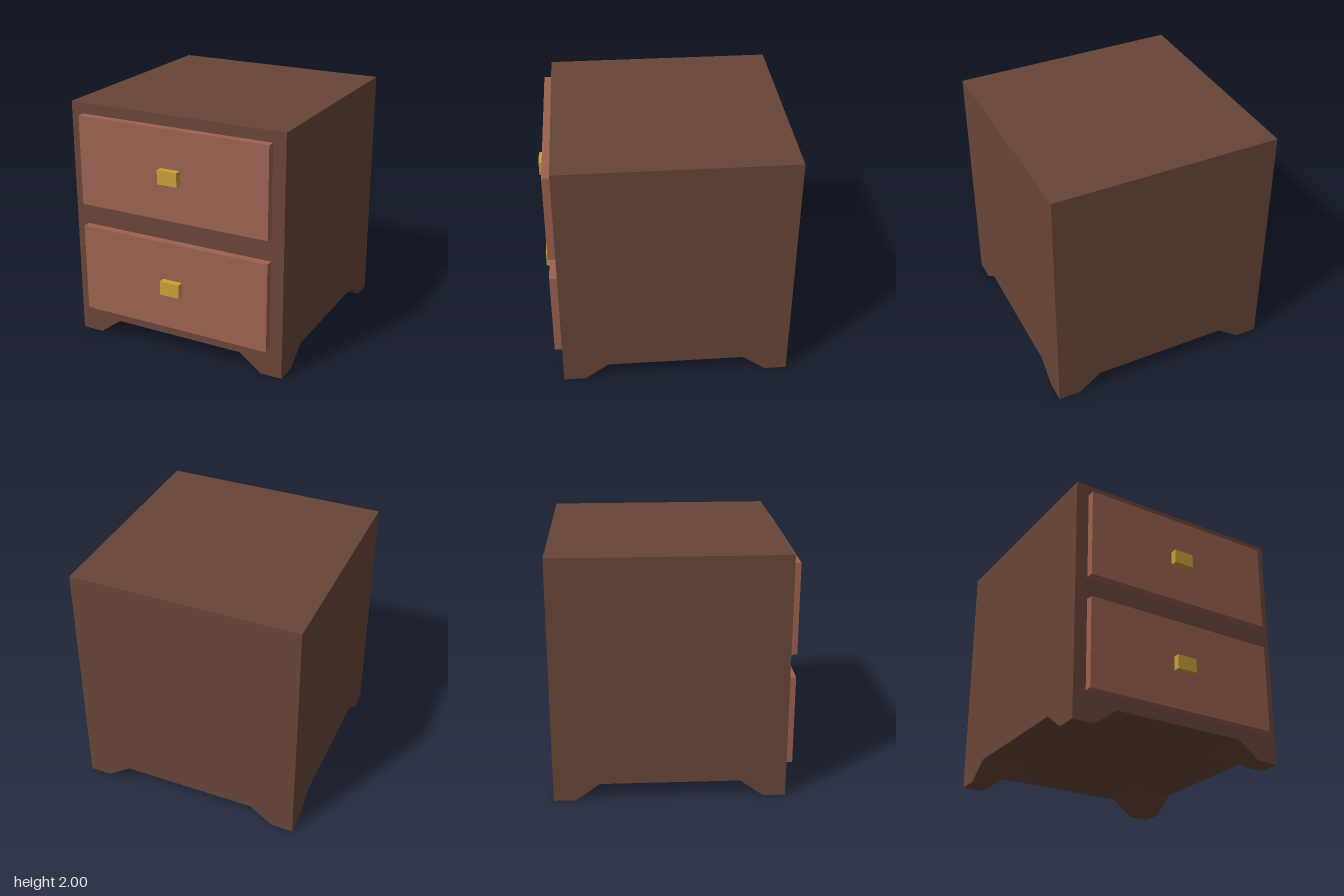
import * as THREE from 'three';

const wood = new THREE.MeshStandardMaterial({ color: 0x694538, flatShading: true });
const panel = new THREE.MeshStandardMaterial({ color: 0x9b6250, flatShading: true });
const brass = new THREE.MeshStandardMaterial({ color: 0xc8a03a, flatShading: true });

const HALF = 0.93, BACK = -0.99, FRONT = 0.87, FOOT_H = 0.14;

// Box given by its minimum and maximum corners
function box(name, material, [x0, y0, z0], [x1, y1, z1]) {
  const geometry = new THREE.BoxGeometry(x1 - x0, y1 - y0, z1 - z0);
  geometry.translate((x0 + x1) / 2, (y0 + y1) / 2, (z0 + z1) / 2);
  const mesh = new THREE.Mesh(geometry, material);
  mesh.name = name;
  return mesh;
}

// Corner foot: flush on its outer sides, tapering on its two inner sides
function foot(name, sx, sz) {
  const top = 0.37, bottom = 0.18;
  const geometry = new THREE.BoxGeometry(1, FOOT_H, 1);
  const p = geometry.attributes.position;
  const cornerZ = sz > 0 ? FRONT : BACK;
  for (let i = 0; i < p.count; i++) {
    const width = p.getY(i) > 0 ? top : bottom;
    const x = p.getX(i) * sx > 0 ? 0 : width;
    const z = p.getZ(i) * sz > 0 ? 0 : width;
    p.setXYZ(i, sx * (HALF - x), p.getY(i) + FOOT_H / 2, cornerZ - sz * z);
  }
  geometry.computeVertexNormals();
  const mesh = new THREE.Mesh(geometry, wood);
  mesh.name = name;
  return mesh;
}

export function createModel() {
  const model = new THREE.Group();
  model.name = 'nightstand';

  // Cabinet
  model.add(box('cabinet', wood, [-HALF, FOOT_H, BACK], [HALF, 2, FRONT]));

  // Feet
  for (const sx of [1, -1]) {
    for (const sz of [1, -1]) {
      model.add(foot(`${sz > 0 ? 'front' : 'back'}${sx > 0 ? 'Left' : 'Right'}Foot`, sx, sz));
    }
  }

  // Drawers, each with a handle
  for (const [name, y] of [['lowerDrawer', 0.24], ['upperDrawer', 1.17]]) {
    const drawer = new THREE.Group();
    drawer.name = name;
    drawer.add(
      box('drawerFront', panel, [-0.825, y, FRONT], [0.825, y + 0.74, 0.935]),
      box('handle', brass, [-0.085, y + 0.31, 0.935], [0.085, y + 0.425, 0.99])
    );
    model.add(drawer);
  }
  return model;
}
